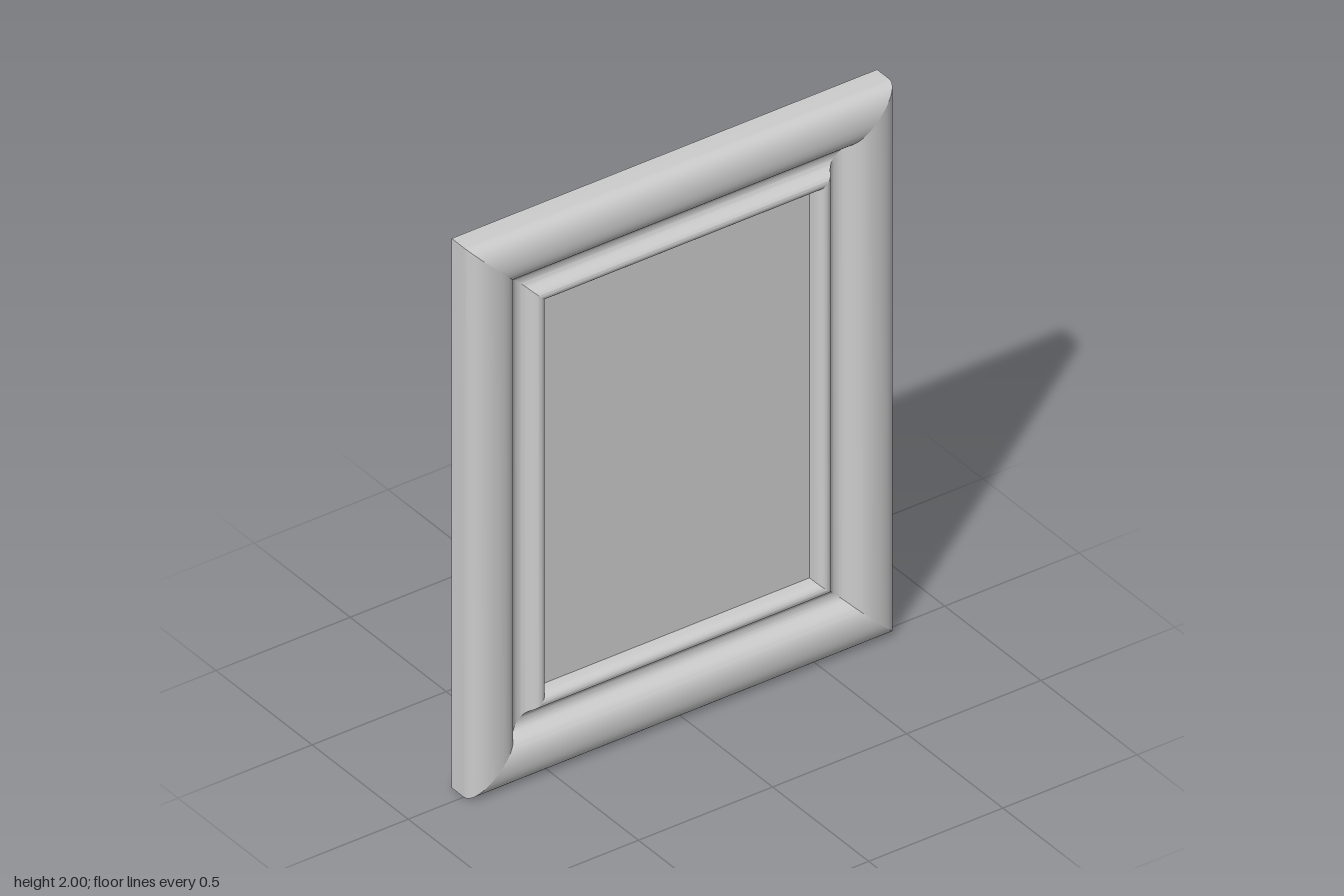
import * as THREE from 'three';
import { toCreasedNormals } from 'three/addons/utils/BufferGeometryUtils.js';

const HALF_W = 0.793, HALF_H = 1, RAIL = 0.285, BACK = -0.063;

// Moulding section: x runs inward from the outer edge, y is depth to the front
function mouldingProfile() {
  const s = new THREE.Shape();
  s.moveTo(0, BACK);
  s.lineTo(RAIL, BACK);
  s.lineTo(RAIL, 0.005);
  s.bezierCurveTo(RAIL, 0.03, 0.274, 0.042, 0.258, 0.042); // inner bead
  s.bezierCurveTo(0.238, 0.042, 0.235, 0.003, 0.208, 0.0); // groove
  s.bezierCurveTo(0.18, -0.001, 0.175, 0.012, 0.166, 0.025);
  s.bezierCurveTo(0.152, 0.048, 0.13, 0.063, 0.09, 0.063); // broad outer roll
  s.bezierCurveTo(0.035, 0.063, 0, 0.035, 0, 0);
  s.closePath();
  return s;
}

// Rail along x with both ends mitred at 45 degrees, its outer edge at y = -dist
function railGeometry(length, dist) {
  const g = new THREE.ExtrudeGeometry(mouldingProfile(), {
    depth: 1, bevelEnabled: false, curveSegments: 12,
  });
  const p = g.attributes.position;
  for (let i = 0; i < p.count; i++) {
    const u = p.getX(i), z = p.getY(i), t = p.getZ(i);
    p.setXYZ(i, (t - 0.5) * (length - 2 * u), u - dist, z);
  }
  return toCreasedNormals(g, 0.6);
}

export function createModel() {
  const model = new THREE.Group();
  model.name = 'pictureFrame';
  const material = new THREE.MeshStandardMaterial({ color: 0xcccccc });

  // Four mitred rails, turned around the centre
  ['bottomRail', 'leftRail', 'topRail', 'rightRail'].forEach((name, k) => {
    const upright = k % 2 === 1;
    const geometry = upright
      ? railGeometry(2 * HALF_H, HALF_W)
      : railGeometry(2 * HALF_W, HALF_H);
    const rail = new THREE.Mesh(geometry, material);
    rail.name = name;
    rail.rotation.z = k * Math.PI / 2;
    rail.position.y = HALF_H;
    model.add(rail);
  });

  // Flat picture panel, set slightly in from the back
  const panel = new THREE.Mesh(
    new THREE.BoxGeometry(2 * (HALF_W - RAIL), 2 * (HALF_H - RAIL), 0.035), material);
  panel.name = 'picturePanel';
  panel.position.set(0, HALF_H, -0.034);
  model.add(panel);

  return model;
}
